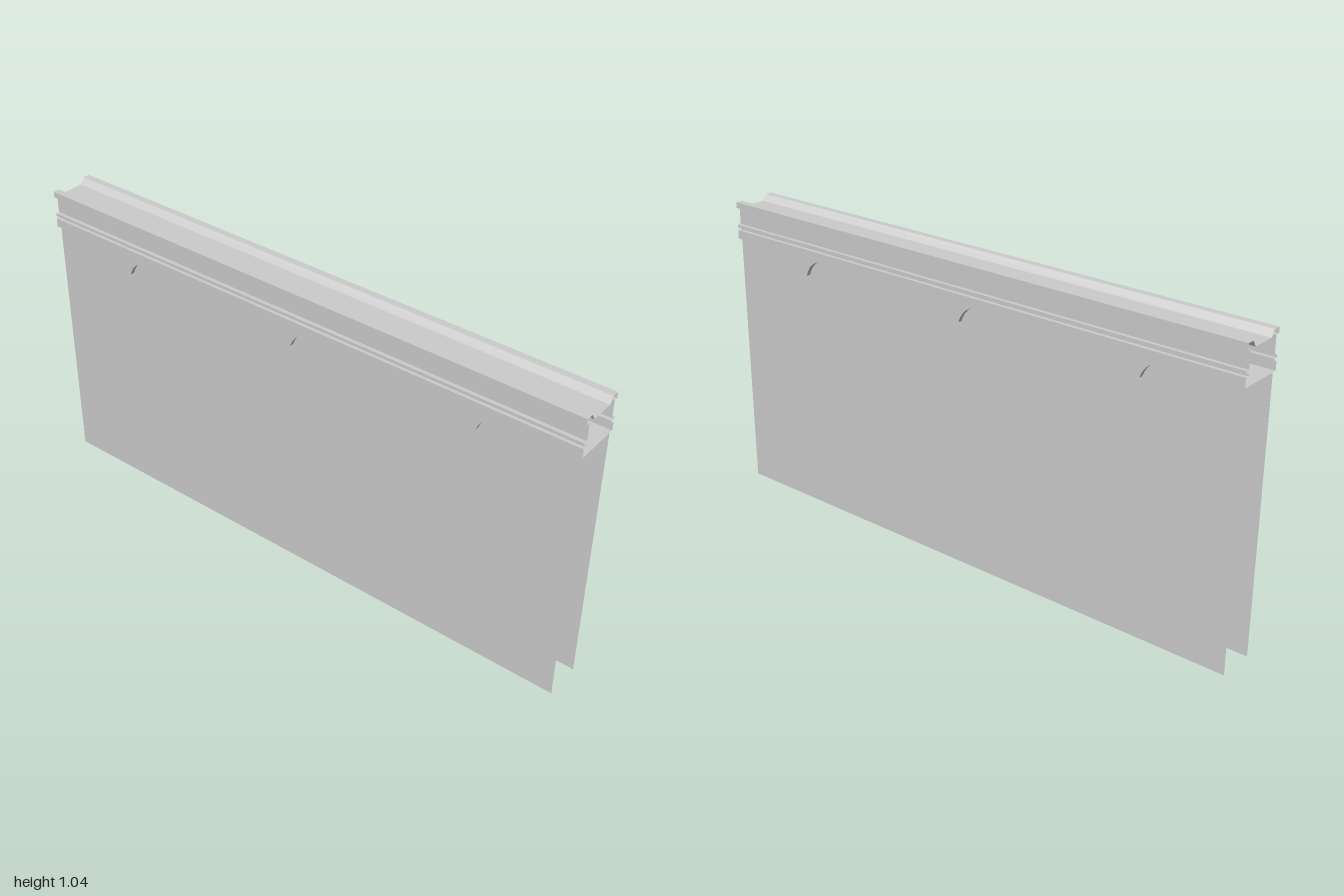
import * as THREE from 'three';

const LENGTH = 2;
const FLOOR_Y = 0.908;

const sheetMaterial = new THREE.MeshStandardMaterial({
  color: 0xcccccc, side: THREE.DoubleSide, flatShading: true,
});

// Sweeps a closed [z, y] outline along x as a thin open-ended sheet
function sweepSheet(outline) {
  const positions = [];
  const h = LENGTH / 2;
  outline.forEach(([z0, y0], i) => {
    const [z1, y1] = outline[(i + 1) % outline.length];
    positions.push(-h, y0, z0, h, y1, z1, h, y0, z0);
    positions.push(-h, y0, z0, -h, y1, z1, h, y1, z1);
  });
  const geometry = new THREE.BufferGeometry();
  geometry.setAttribute('position', new THREE.Float32BufferAttribute(positions, 3));
  geometry.computeVertexNormals();
  return geometry;
}

function addMesh(group, name, geometry) {
  const mesh = new THREE.Mesh(geometry, sheetMaterial);
  mesh.name = name;
  group.add(mesh);
  return mesh;
}

export function createModel() {
  const model = new THREE.Group();
  model.name = 'beamWithPanels';

  // Hollow top rail: sunken roof, raised rims, recessed sides, bead and lower lip
  const half = [
    [0.041, 1.015], [0.055, 1.036], [0.079, 1.036], [0.079, 1.016],
    [0.066, 1.016], [0.066, 0.957], [0.079, 0.957], [0.079, 0.947],
    [0.066, 0.947], [0.066, 0.938], [0.079, 0.938], [0.079, FLOOR_Y],
  ];
  const mirrored = half.map(([z, y]) => [-z, y]).reverse();
  addMesh(model, 'topRail', sweepSheet([...half, ...mirrored]));

  // Two thin hanging panels
  for (const side of [1, -1]) {
    const panel = addMesh(model, side > 0 ? 'frontPanel' : 'backPanel',
      new THREE.PlaneGeometry(LENGTH, FLOOR_Y));
    panel.position.set(0, FLOOR_Y / 2, side * 0.064);
    if (side < 0) panel.rotation.y = Math.PI;
  }

  // Cross ribs: low peak above the floor, concave point below it
  const ribShape = new THREE.Shape();
  ribShape.moveTo(0, 0.847);
  ribShape.quadraticCurveTo(0.016, 0.895, 0.062, FLOOR_Y);
  ribShape.lineTo(0, 0.935);
  ribShape.lineTo(-0.062, FLOOR_Y);
  ribShape.quadraticCurveTo(-0.016, 0.895, 0, 0.847);
  const ribGeometry = new THREE.ExtrudeGeometry(ribShape, {
    depth: 0.158, bevelEnabled: false, curveSegments: 5,
  });
  ribGeometry.translate(0, 0, -0.079);
  for (const x of [-0.667, 0, 0.667]) {
    addMesh(model, 'crossRib', ribGeometry).position.x = x;
  }

  return model;
}
